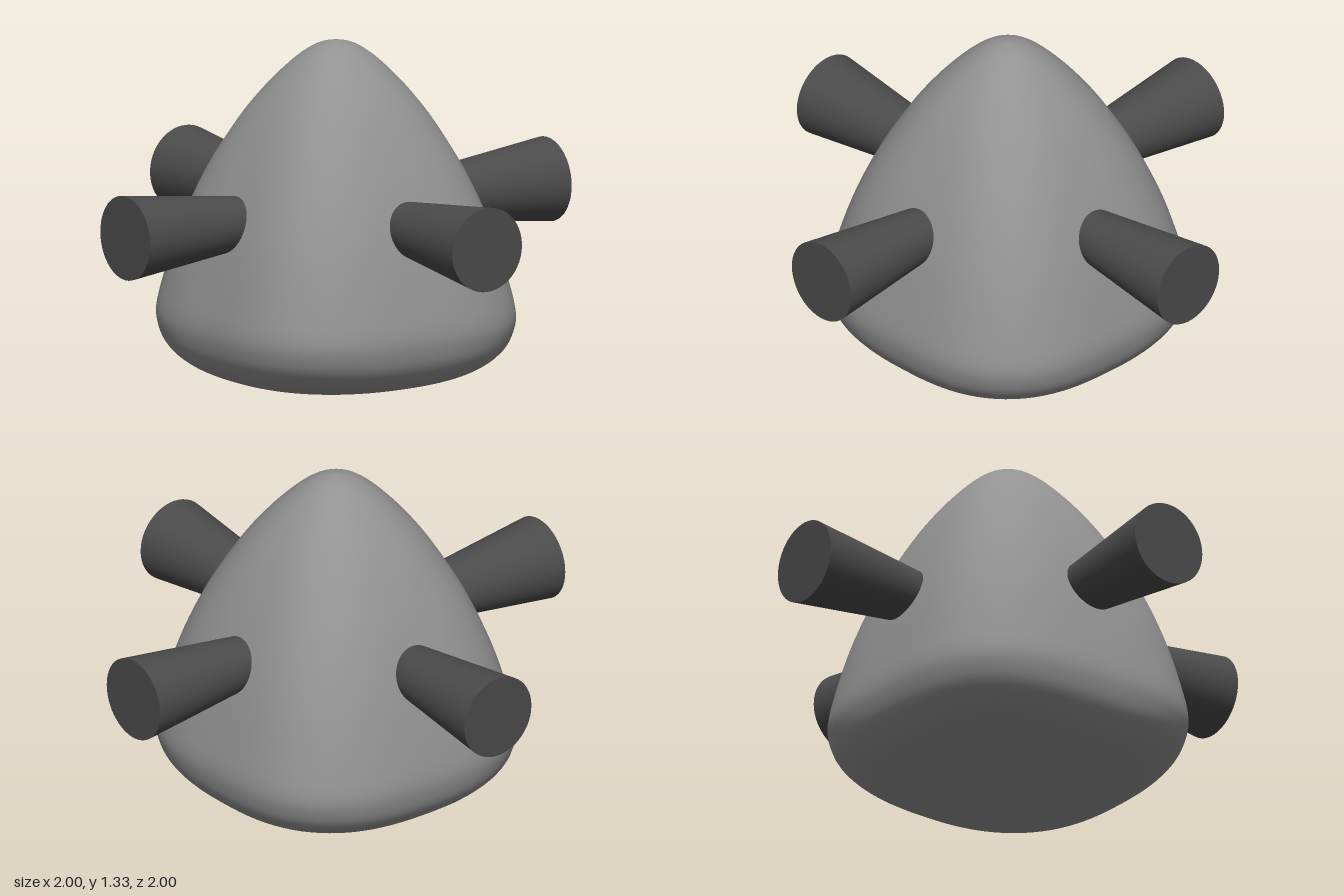
import * as THREE from 'three';

const bodyGrey = new THREE.MeshStandardMaterial({ color: 0x929292 });
bodyGrey.name = 'mid grey';
const pegGrey = new THREE.MeshStandardMaterial({ color: 0x4b4b4b });
pegGrey.name = 'dark grey';

// Half width, height and squareness (2 is round) of the body from bottom to top
const profile = [
  [0, 0, 2.2], [0.2, 0.004, 2.2], [0.4, 0.02, 2.3], [0.51, 0.055, 2.5], [0.585, 0.12, 2.75],
  [0.615, 0.195, 2.95], [0.62, 0.27, 3.05], [0.592, 0.4, 3.1], [0.535, 0.6, 3.1], [0.458, 0.8, 3],
  [0.358, 1, 2.7], [0.295, 1.1, 2.5], [0.215, 1.2, 2.3], [0.125, 1.285, 2.1], [0.06, 1.321, 2], [0, 1.333, 2],
];

// Rounded-square cross-sections joined into one smooth skin
function bodyGeometry(rings = 72, sides = 96) {
  const curve = new THREE.CatmullRomCurve3(profile.map((p) => new THREE.Vector3(...p)));
  const positions = [0, 0, 0];
  const index = [];
  for (let i = 1; i < rings; i++) {
    const { x: half, y, z: n } = curve.getPoint(i / rings);
    for (let j = 0; j < sides; j++) {
      const a = (j / sides) * Math.PI * 2;
      const c = Math.cos(a), s = Math.sin(a);
      const r = half * (Math.abs(c) ** n + Math.abs(s) ** n) ** (-1 / n);
      positions.push(r * c, y, r * s);
    }
  }
  positions.push(0, 1.333, 0);
  const top = positions.length / 3 - 1;
  const at = (i, j) => 1 + i * sides + (j % sides);
  for (let j = 0; j < sides; j++) {
    index.push(0, at(0, j), at(0, j + 1));
    for (let i = 0; i < rings - 2; i++) {
      const a = at(i, j), b = at(i, j + 1), c = at(i + 1, j), d = at(i + 1, j + 1);
      index.push(a, c, b, b, c, d);
    }
    index.push(top, at(rings - 2, j + 1), at(rings - 2, j));
  }
  const geometry = new THREE.BufferGeometry();
  geometry.setAttribute('position', new THREE.Float32BufferAttribute(positions, 3));
  geometry.setIndex(index);
  geometry.computeVertexNormals();
  return geometry;
}

export function createModel() {
  const model = new THREE.Group();
  model.name = 'peggedCone';

  const body = new THREE.Mesh(bodyGeometry(), bodyGrey);
  body.name = 'body';
  model.add(body);

  // Four flared pegs, pointing out to the sides, front and back
  const pegGeometry = new THREE.CylinderGeometry(0.165, 0.083, 0.7, 48);
  pegGeometry.rotateX(Math.PI / 2).translate(0, 0.668, 0.65);
  ['frontPeg', 'leftPeg', 'backPeg', 'rightPeg'].forEach((name, i) => {
    const peg = new THREE.Mesh(pegGeometry, pegGrey);
    peg.name = name;
    peg.rotation.y = (i * Math.PI) / 2;
    model.add(peg);
  });
  return model;
}
